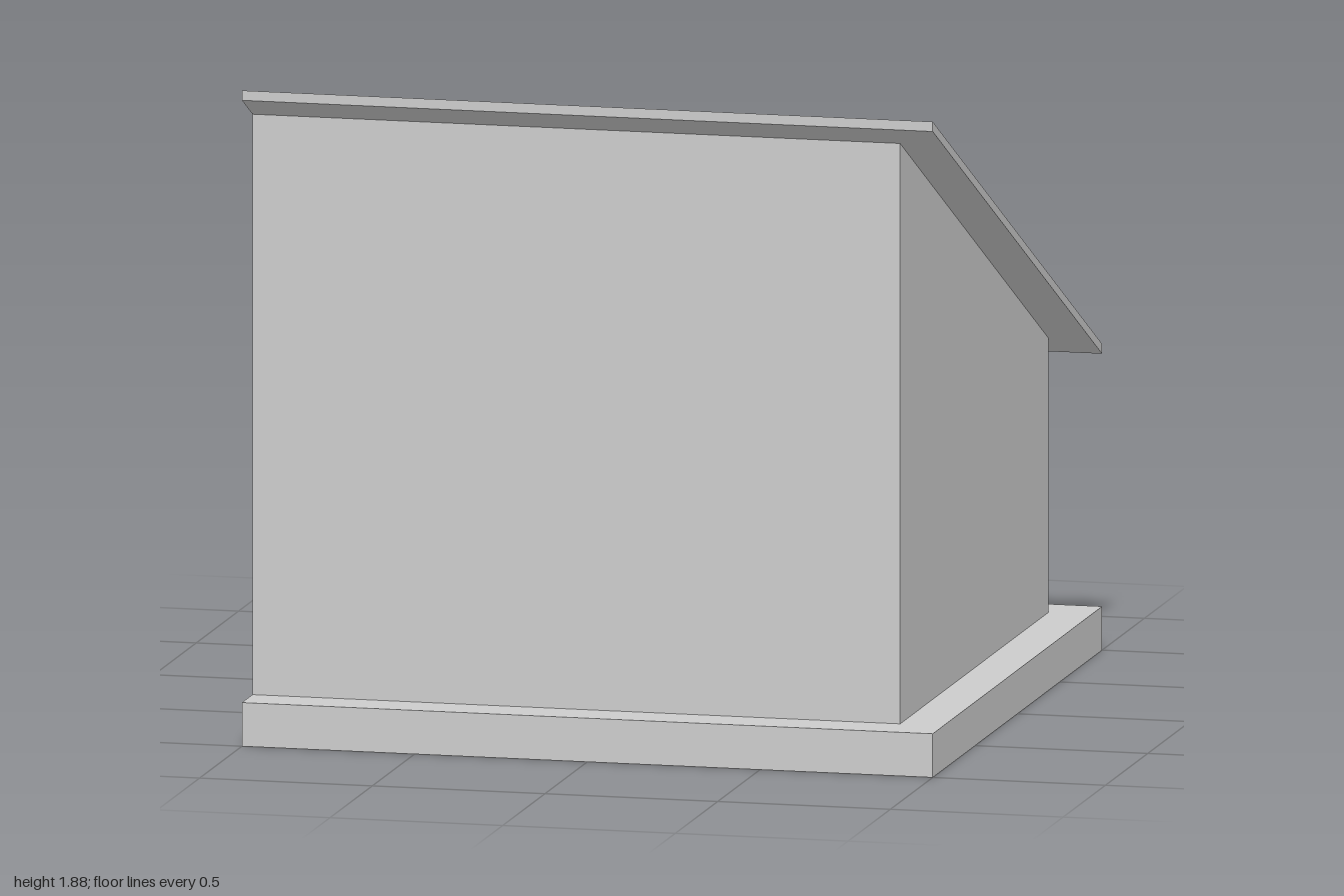
import * as THREE from 'three';

const OPEN_X = -1;   // the shell is cut open along this side
const OUTER = 1;     // half size of plinth and roof
const INNER = 0.875; // half size of the walls
const PLINTH_TOP = 0.125;

const material = new THREE.MeshStandardMaterial({
  color: 0xcccccc, flatShading: true, side: THREE.DoubleSide,
});

// Sloping planes of the single-pitch roof
const roofUnder = (z) => 1.348 + 0.5 * z;
const roofTop = (z) => 1.376 + 0.5 * z;
const level = (y) => () => y;

// Four corners of a U-shaped section, open at OPEN_X
function section(half, height) {
  return [[OPEN_X, half], [half, half], [half, -half], [OPEN_X, -half]]
    .map(([x, z]) => [x, height(z), z]);
}

// Joins successive sections with front, side and back faces, plus optional caps
function shell(name, sections, { capBottom = false, capTop = false } = {}) {
  const positions = [];
  const quad = (a, b, c, d) => positions.push(...a, ...b, ...c, ...a, ...c, ...d);
  for (let i = 0; i < sections.length - 1; i++) {
    const low = sections[i], high = sections[i + 1];
    for (let j = 0; j < 3; j++) quad(low[j], low[j + 1], high[j + 1], high[j]);
  }
  if (capBottom) quad(...[...sections[0]].reverse());
  if (capTop) quad(...sections[sections.length - 1]);

  const geometry = new THREE.BufferGeometry();
  geometry.setAttribute('position', new THREE.Float32BufferAttribute(positions, 3));
  geometry.computeVertexNormals();
  const mesh = new THREE.Mesh(geometry, material);
  mesh.name = name;
  return mesh;
}

export function createModel() {
  const model = new THREE.Group();
  model.name = 'shed';

  // Hollow plinth: floor, sides and the ledge around the walls
  model.add(shell('plinth', [
    section(OUTER, level(0)),
    section(OUTER, level(PLINTH_TOP)),
    section(INNER, level(PLINTH_TOP)),
  ], { capBottom: true }));

  // Thin walls on three sides, cut off by the roof slope
  model.add(shell('walls', [
    section(INNER, level(PLINTH_TOP)),
    section(INNER, roofUnder),
  ]));

  // Roof: overhang underside, thin edges and sloping top
  model.add(shell('roof', [
    section(INNER, roofUnder),
    section(OUTER, roofUnder),
    section(OUTER, roofTop),
  ], { capTop: true }));

  return model;
}
